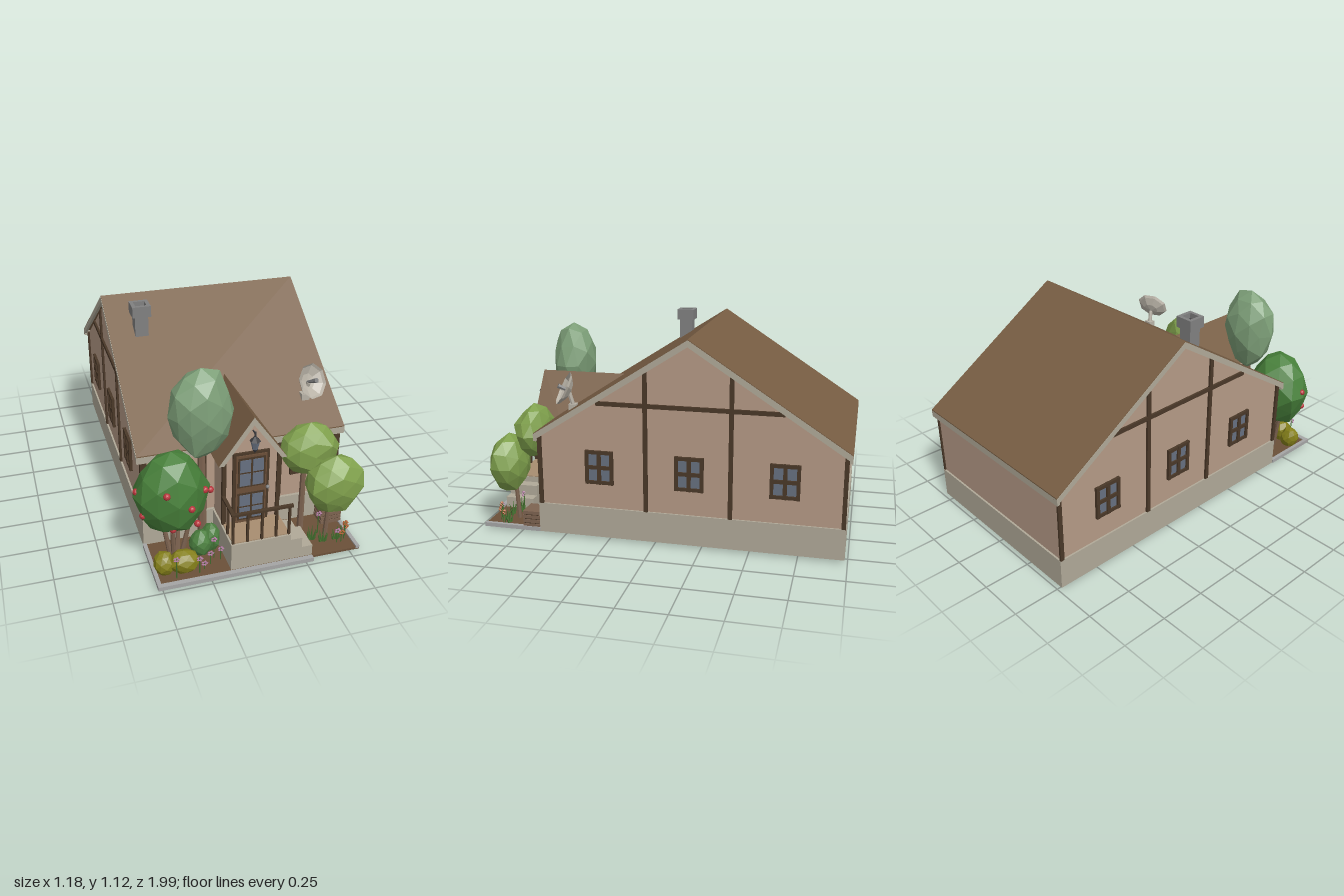
import * as THREE from 'three';

const COLORS = {
  wall: 0xb59a86, stone: 0xb0a998, roof: 0x775d43, timber: 0x4a3828, door: 0x6b4f38, glass: 0x667080,
  deck: 0xa88d70, soil: 0x6b5038, kerb: 0xa5a5a5, grey: 0x808080, dark: 0x3c3c40, bark: 0x7d6350,
  dish: 0xb8b2a6, apple: 0xb8353c, appleLeaf: 0x47803a, sage: 0x7d9f78, lime: 0x7fa04c,
  olive: 0x85801a, bush: 0x4c8040, blade: 0x44702f, pink: 0xb07aa0, orange: 0xb06030,
};
const mats = {};
for (const k in COLORS) mats[k] = new THREE.MeshStandardMaterial({ color: COLORS[k], flatShading: true, side: THREE.DoubleSide });

function add(parent, name, geo, mat, x = 0, y = 0, z = 0) {
  const m = new THREE.Mesh(geo, mats[mat]);
  m.name = name;
  m.position.set(x, y, z);
  parent.add(m);
  return m;
}
// Box given by its limits on each axis
const box = (p, name, mat, x0, x1, y0, y1, z0, z1) =>
  add(p, name, new THREE.BoxGeometry(x1 - x0, y1 - y0, z1 - z0), mat, (x0 + x1) / 2, (y0 + y1) / 2, (z0 + z1) / 2);
const shape = pts => new THREE.Shape(pts.map(p => new THREE.Vector2(...p)));
const extrude = (pts, depth) => new THREE.ExtrudeGeometry(shape(pts), { depth, bevelEnabled: false });
// (z, y) outline swept along x from x0 to x1
const sweepX = (pts, x0, x1) => extrude(pts, x1 - x0).rotateY(-Math.PI / 2).translate(x1, 0, 0);
// Round bar between two points
function bar(p, name, mat, a, b, r0, r1 = r0, sides = 7) {
  const A = new THREE.Vector3(...a), B = new THREE.Vector3(...b), d = B.clone().sub(A);
  const m = add(p, name, new THREE.CylinderGeometry(r1, r0, d.length(), sides), mat);
  m.position.copy(A).add(B).multiplyScalar(0.5);
  m.quaternion.setFromUnitVectors(new THREE.Vector3(0, 1, 0), d.normalize());
  return m;
}
// Faceted foliage: jittered icosphere; taper > 0 narrows the bottom
function blob(p, name, mat, c, r, seed, taper = 0, detail = 1) {
  const g = new THREE.IcosahedronGeometry(1, detail), pos = g.attributes.position, v = new THREE.Vector3();
  for (let i = 0; i < pos.count; i++) {
    v.fromBufferAttribute(pos, i);
    const s = Math.sin(Math.round(v.x * 50) * 12.99 + Math.round(v.y * 50) * 78.23 + Math.round(v.z * 50) * 37.72 + seed) * 4375.5;
    const k = 0.9 + 0.16 * (s - Math.floor(s)), t = 1 + taper * v.y;
    pos.setXYZ(i, v.x * k * t * r[0], v.y * k * r[1], v.z * k * t * r[2]);
  }
  g.computeVertexNormals();
  return add(p, name, g, mat, ...c);
}
// Four-pane window facing +z, centred on its origin
function makeWindow() {
  const g = new THREE.Group();
  g.name = 'window';
  box(g, 'windowGlass', 'glass', -0.07, 0.07, -0.085, 0.085, 0, 0.006);
  for (const s of [-1, 0, 1]) {
    const w = s ? 0.009 : 0.01;
    box(g, 'windowFrame', 'timber', s * 0.067 - w, s * 0.067 + w, -0.092, 0.092, 0, 0.016);
    box(g, 'windowFrame', 'timber', -0.075, 0.075, s * 0.082 - w, s * 0.082 + w, 0, 0.015);
  }
  return g;
}

function makeHouse() {
  const h = new THREE.Group();
  h.name = 'house';
  const X0 = -0.52, X1 = 0.55, Z0 = -0.985, Z1 = 0.64, RZ = -0.18;
  // Hollow plinth and walls
  for (const [x0, x1, z0, z1] of [[X0, X1, Z1 - 0.02, Z1], [X0, X1, Z0, Z0 + 0.02], [X0, X0 + 0.02, Z0, Z1], [X1 - 0.02, X1, Z0, Z1]])
    box(h, 'plinth', 'stone', x0, x1, 0.01, 0.175, z0, z1);
  box(h, 'frontWall', 'wall', X0 + 0.01, X1 - 0.01, 0.175, 0.56, 0.61, 0.625);
  box(h, 'backWall', 'wall', X0 + 0.01, X1 - 0.01, 0.175, 0.54, -0.975, -0.96);
  const gable = [[-0.975, 0.175], [0.625, 0.175], [0.625, 0.55], [RZ, 1.075], [-0.975, 0.55]];
  add(h, 'gableWall', sweepX(gable, X1 - 0.025, X1 - 0.01), 'wall');
  add(h, 'gableWall', sweepX(gable, X0 + 0.01, X0 + 0.025), 'wall');

  // Timber frame and windows on both gables
  for (const [x, s] of [[X1 - 0.01, 1], [X0 + 0.01, -1]]) {
    const a = Math.min(x, x + s * 0.012), b = Math.max(x, x + s * 0.012);
    for (const [z, top] of [[0.045, 0.93], [-0.4, 0.93], [0.625, 0.55], [-0.972, 0.55]])
      box(h, 'timberPost', 'timber', a, b, 0.175, top, z - 0.011, z + 0.011);
    box(h, 'timberBeam', 'timber', a, b, 0.735, 0.757, RZ - 0.485, RZ + 0.485);
    for (const z of [0.295, -0.185, -0.675]) {
      const w = makeWindow();
      w.position.set(x, 0.4, z);
      w.rotation.y = s * Math.PI / 2;
      h.add(w);
    }
  }
  for (const x of [-0.325, 0.355]) {
    const w = makeWindow();
    w.position.set(x, 0.4, 0.625);
    h.add(w);
  }
  for (const x of [-0.5, -0.19, 0.22, 0.53])
    box(h, 'frontPost', 'timber', x - 0.011, x + 0.011, 0.175, 0.56, 0.62, 0.636);

  // Main roof skin, pale verge boards and eaves boards
  const chevron = (t, o) => [[0.65, 0.568 - o], [RZ, 1.1 - o], [-1, 0.568 - o], [-1, 0.568 - o - t], [RZ, 1.1 - o - t], [0.65, 0.568 - o - t]];
  add(h, 'roof', sweepX(chevron(0.02, 0), -0.54, 0.565), 'roof');
  for (const x of [-0.542, 0.552]) add(h, 'vergeBoard', sweepX(chevron(0.035, 0.004), x, x + 0.015), 'stone');
  box(h, 'frontEaves', 'stone', -0.54, 0.565, 0.525, 0.562, 0.635, 0.651);
  box(h, 'backEaves', 'stone', -0.54, 0.565, 0.525, 0.562, -1, -0.984);

  // Chimney with hollow cap
  box(h, 'chimneyShaft', 'grey', -0.405, -0.333, 0.92, 1.06, -0.006, 0.066);
  for (const s of [-1, 1]) {
    box(h, 'chimneyCap', 'grey', -0.419, -0.319, 1.055, 1.115, 0.03 + s * 0.04 - 0.01, 0.03 + s * 0.04 + 0.01);
    box(h, 'chimneyCap', 'grey', -0.369 + s * 0.04 - 0.01, -0.369 + s * 0.04 + 0.01, 1.055, 1.115, -0.02, 0.08);
  }
  box(h, 'chimneyFlue', 'dark', -0.41, -0.33, 1.055, 1.085, -0.01, 0.07);

  // Satellite dish: shallow eight-sided bowl tilted to the sky
  box(h, 'dishFoot', 'dish', 0.383, 0.427, 0.655, 0.7, 0.46, 0.5);
  bar(h, 'dishMast', 'dish', [0.405, 0.69, 0.48], [0.415, 0.77, 0.5], 0.012);
  const dish = new THREE.Group();
  dish.name = 'satelliteDish';
  dish.position.set(0.417, 0.775, 0.505);
  dish.quaternion.setFromUnitVectors(new THREE.Vector3(0, 1, 0), new THREE.Vector3(0.36, 0.45, 0.8).normalize());
  const profile = [[0, -0.02], [0.045, -0.012], [0.085, 0.012], [0.095, 0.025]].map(p => new THREE.Vector2(...p));
  add(dish, 'dishBowl', new THREE.LatheGeometry(profile, 8), 'dish');
  bar(dish, 'dishReceiver', 'grey', [0, -0.02, 0], [0, 0.055, 0], 0.006, 0.014, 6);
  h.add(dish);
  return h;
}

function makePorch() {
  const p = new THREE.Group();
  p.name = 'porch';
  const C = 0.012, Z = 0.775;
  // Base, deck and steps going down to the side
  box(p, 'porchBase', 'stone', -0.145, 0.168, 0.012, 0.172, 0.64, 0.955);
  box(p, 'porchDeck', 'deck', -0.135, 0.165, 0.172, 0.177, 0.64, 0.945);
  box(p, 'upperStep', 'stone', 0.168, 0.23, 0.012, 0.14, 0.79, 0.955);
  box(p, 'lowerStep', 'stone', 0.23, 0.288, 0.012, 0.082, 0.79, 0.955);

  // Entrance block with its own steep gable roof
  add(p, 'porchWalls', extrude([[-0.135, 0.175], [0.16, 0.175], [0.16, 0.56], [C, 0.755], [-0.135, 0.56]], Z - 0.63), 'wall', 0, 0, 0.63);
  for (const s of [-1, 1]) {
    const e = C + s * 0.178;
    const g = new THREE.BufferGeometry();
    g.setAttribute('position', new THREE.Float32BufferAttribute([C, 0.785, 0.8, C, 0.785, 0.3, e, 0.535, 0.64, e, 0.535, 0.8], 3));
    g.setIndex(s > 0 ? [0, 3, 2, 0, 2, 1] : [0, 2, 3, 0, 1, 2]);
    g.computeVertexNormals();
    add(p, 'porchRoof', g, 'roof');
    box(p, 'porchPost', 'timber', C + s * 0.143 - 0.01, C + s * 0.143 + 0.01, 0.175, 0.56, Z - 0.01, Z + 0.01);
  }
  add(p, 'porchVerge', extrude([[C - 0.178, 0.535], [C, 0.783], [C + 0.178, 0.535], [C + 0.15, 0.535], [C, 0.742], [C - 0.15, 0.535]], 0.035), 'stone', 0, 0, 0.766);

  // Door with two glazed panels
  box(p, 'doorFrame', 'timber', -0.088, 0.102, 0.177, 0.585, Z, Z + 0.012);
  box(p, 'doorLeaf', 'door', -0.073, 0.087, 0.177, 0.572, Z, Z + 0.018);
  for (const [y0, y1] of [[0.195, 0.355], [0.39, 0.56]]) {
    box(p, 'doorPanel', 'timber', -0.064, 0.078, y0, y1, Z, Z + 0.022);
    const h = (y1 - y0 - 0.03) / 2;
    for (const x of [-0.055, 0.012]) for (const y of [y0 + 0.01, y0 + 0.02 + h])
      box(p, 'doorGlass', 'glass', x, x + 0.056, y, y + h, Z, Z + 0.025);
  }
  add(p, 'doorKnob', new THREE.IcosahedronGeometry(0.01, 1), 'grey', 0.09, 0.378, Z + 0.03);

  // Hanging lantern
  bar(p, 'lanternHook', 'dark', [0.015, 0.7, Z], [0.015, 0.7, Z + 0.035], 0.004);
  bar(p, 'lanternStem', 'dark', [0.015, 0.675, Z + 0.033], [0.015, 0.71, Z + 0.033], 0.005);
  bar(p, 'lanternCap', 'dark', [0.015, 0.66, Z + 0.033], [0.015, 0.685, Z + 0.033], 0.029, 0.006, 6);
  bar(p, 'lanternGlass', 'glass', [0.015, 0.615, Z + 0.033], [0.015, 0.66, Z + 0.033], 0.014, 0.024, 6);
  bar(p, 'lanternBase', 'dark', [0.015, 0.598, Z + 0.033], [0.015, 0.615, Z + 0.033], 0.006, 0.016, 6);

  // Railing along the front and the closed side
  box(p, 'handrail', 'timber', -0.145, 0.175, 0.338, 0.35, 0.936, 0.954);
  box(p, 'sideHandrail', 'timber', -0.144, -0.126, 0.338, 0.35, Z, 0.954);
  for (const x of [-0.135, -0.06, 0.015, 0.09, 0.158]) box(p, 'railPost', 'timber', x - 0.006, x + 0.006, 0.175, 0.34, 0.939, 0.951);
  box(p, 'railPost', 'timber', -0.141, -0.129, 0.175, 0.34, 0.855, 0.867);
  return p;
}

function makeGarden() {
  const g = new THREE.Group();
  g.name = 'garden';
  // Beds and kerbs
  box(g, 'leftBed', 'soil', -0.52, 0.285, 0.01, 0.022, 0.62, 0.98);
  box(g, 'rightBed', 'soil', 0.285, 0.548, 0.01, 0.022, 0.62, 0.965);
  box(g, 'frontKerb', 'kerb', -0.525, 0.285, 0.008, 0.03, 0.966, 0.992);
  box(g, 'leftKerb', 'kerb', -0.525, -0.505, 0.008, 0.03, 0.64, 0.97);
  box(g, 'rightKerb', 'kerb', 0.53, 0.55, 0.008, 0.03, 0.64, 0.965);

  // Fruit tree with several stems
  blob(g, 'fruitTreeCrown', 'appleLeaf', [-0.4, 0.435, 0.785], [0.195, 0.235, 0.15], 3, -0.08);
  for (const [x, z] of [[-0.45, 0.77], [-0.41, 0.82], [-0.36, 0.75], [-0.31, 0.8]])
    bar(g, 'fruitTreeStem', 'bark', [-0.385 + (x + 0.385) * 0.3, 0.005, 0.785], [x, 0.27, z], 0.015, 0.01);
  for (const [x, y, z] of [[-0.575, 0.465, 0.79], [-0.455, 0.5, 0.92], [-0.335, 0.405, 0.92], [-0.25, 0.455, 0.85],
    [-0.205, 0.408, 0.79], [-0.555, 0.35, 0.83], [-0.42, 0.275, 0.88], [-0.29, 0.27, 0.86]])
    add(g, 'fruit', new THREE.IcosahedronGeometry(0.018, 1), 'apple', x, y, z);

  // Tall tree, and a pair of small trees on the other side
  bar(g, 'tallTreeTrunk', 'bark', [-0.22, 0.005, 0.7], [-0.225, 0.62, 0.7], 0.026, 0.019);
  blob(g, 'tallTreeCrown', 'sage', [-0.225, 0.79, 0.695], [0.16, 0.245, 0.125], 11, 0.06);
  bar(g, 'smallTreeTrunk', 'bark', [0.318, 0.005, 0.72], [0.318, 0.45, 0.72], 0.018, 0.014);
  blob(g, 'smallTreeCrown', 'lime', [0.335, 0.515, 0.735], [0.168, 0.15, 0.1], 5);
  bar(g, 'smallTreeTrunk', 'bark', [0.42, 0.005, 0.815], [0.425, 0.3, 0.83], 0.014, 0.01);
  blob(g, 'smallTreeCrown', 'lime', [0.438, 0.35, 0.845], [0.16, 0.165, 0.105], 8, 0.04);

  // Bushes
  for (const [mat, c, r, s] of [['olive', [-0.465, 0.07, 0.87], [0.055, 0.07, 0.055], 1], ['olive', [-0.37, 0.08, 0.89], [0.08, 0.07, 0.06], 2],
    ['bush', [-0.25, 0.075, 0.77], [0.06, 0.075, 0.06], 4], ['bush', [-0.19, 0.09, 0.75], [0.05, 0.08, 0.06], 6]])
    blob(g, 'bush', mat, c, r, s);

  // Flowers and tufts of grass
  const flower = (x, y, z, mat) => {
    bar(g, 'flowerStem', 'blade', [x, 0.01, z], [x, y, z], 0.003, 0.003, 4);
    for (let i = 0; i < 5; i++)
      add(g, 'flowerPetal', new THREE.OctahedronGeometry(0.008), mat, x + 0.011 * Math.cos(i * 1.257), y + 0.01 * Math.sin(i * 1.257), z + 0.004);
  };
  for (const [x, y, z] of [[-0.42, 0.14, 0.94], [-0.3, 0.11, 0.93], [-0.27, 0.06, 0.91], [-0.2, 0.14, 0.84], [-0.17, 0.09, 0.86], [-0.23, 0.09, 0.88], [0.385, 0.15, 0.8], [0.45, 0.1, 0.9]])
    flower(x, y, z, 'pink');
  for (const [x, y, z] of [[0.5, 0.125, 0.88], [0.475, 0.085, 0.9], [0.515, 0.085, 0.86]]) flower(x, y, z, 'orange');
  for (const [x, z, h] of [[0.335, 0.84, 0.11], [0.385, 0.87, 0.1], [0.46, 0.87, 0.09], [0.5, 0.84, 0.08]])
    for (let i = -2; i <= 2; i++)
      bar(g, 'grassBlade', 'blade', [x + i * 0.005, 0.005, z], [x + i * 0.014, h - Math.abs(i) * 0.015, z + (i % 2) * 0.015], 0.009, 0.001, 4);

  // Slatted crate against the plinth
  box(g, 'crateCore', 'timber', 0.435, 0.54, 0.022, 0.105, 0.65, 0.735);
  for (let i = 0; i < 4; i++) box(g, 'crateSlat', 'bark', 0.43, 0.545, 0.026 + i * 0.024, 0.044 + i * 0.024, 0.645, 0.74);
  return g;
}

export function createModel() {
  const model = new THREE.Group();
  model.name = 'cottage';
  model.add(makeHouse(), makePorch(), makeGarden());
  return model;
}
